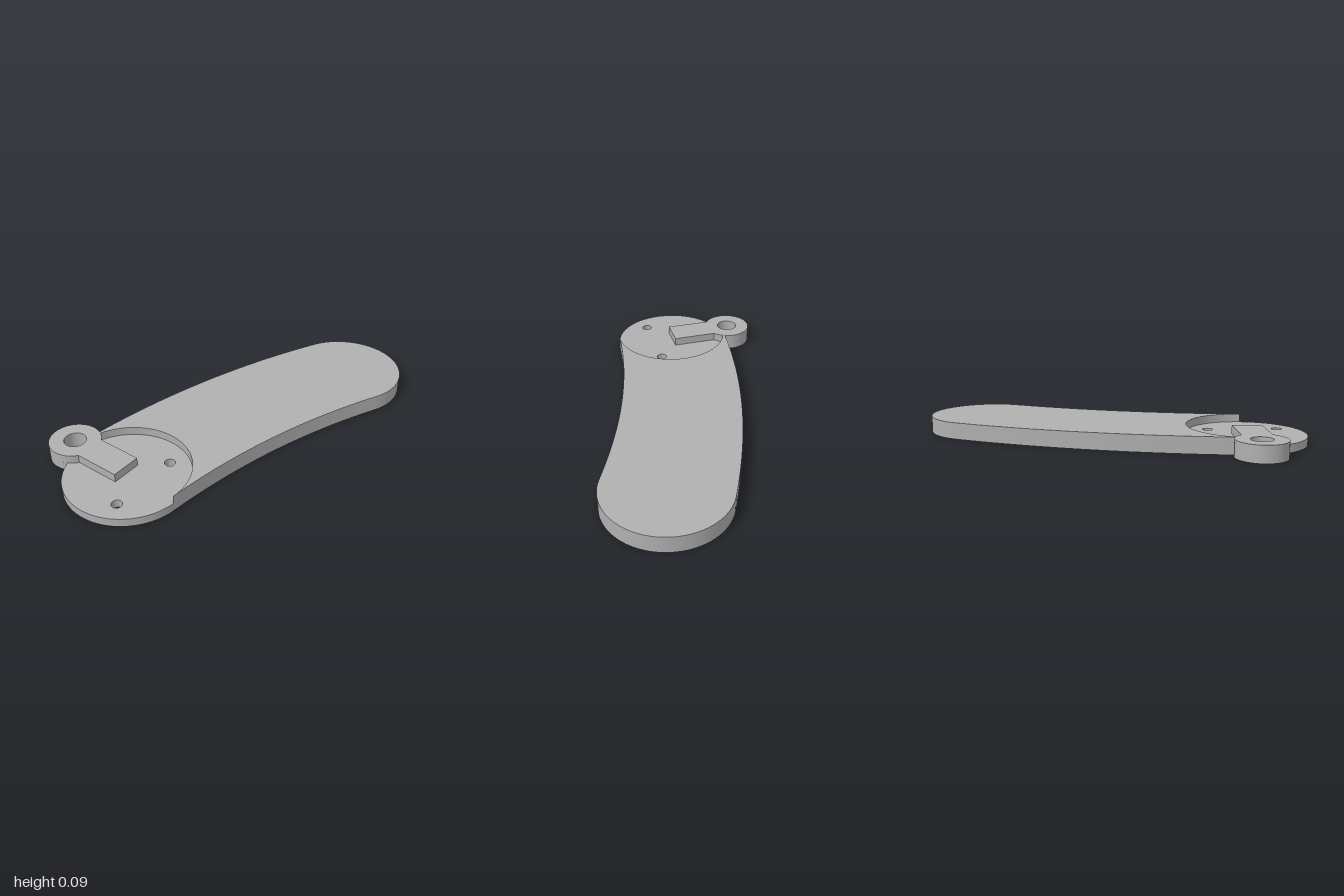
import * as THREE from 'three';
import { toCreasedNormals } from 'three/addons/utils/BufferGeometryUtils.js';

// Plan coordinates: x to the right, y towards the back (-z).
const HEIGHT = 0.088, FLOOR = 0.044;
const PAD = 0.312; // radius of both rounded ends
const disc = new THREE.Vector2(-0.688, 0.112);
const tip = new THREE.Vector2(0.688, -0.276);
const ring = new THREE.Vector2(-0.688, 0.463);
const RING_R = 0.13, RING_HOLE = 0.056;
const STEM_HALF = 0.0775, STEM_END = 0.118;

// Points along an arc from angle a to angle b
function arc(c, r, a, b, n = 48) {
  return Array.from({ length: n + 1 }, (_, i) => {
    const t = a + (b - a) * i / n;
    return new THREE.Vector2(c.x + r * Math.cos(t), c.y + r * Math.sin(t));
  });
}

const angleTo = (from, to) => Math.atan2(to.y - from.y, to.x - from.x);

// Angle at a circle of radius r between the line of centres and the crossing with another circle
const crossing = (d, r, other) => Math.acos((d * d + r * r - other * other) / (2 * d * r));

// Extrude an outline upwards between two heights
function slab(points, holes, y0, y1) {
  const clean = points.filter((p, i) => p.distanceTo(points[(i + 1) % points.length]) > 1e-4);
  const shape = new THREE.Shape(clean);
  for (const [c, r] of holes) shape.holes.push(new THREE.Path(arc(c, r, 0, -Math.PI * 2, 40).slice(0, -1)));
  const g = new THREE.ExtrudeGeometry(shape, { depth: y1 - y0, bevelEnabled: false });
  g.rotateX(-Math.PI / 2);
  g.translate(0, y0, 0);
  return toCreasedNormals(g, Math.PI / 7);
}

export function createModel() {
  const group = new THREE.Group();
  const grey = new THREE.MeshStandardMaterial({ color: 0xb0b0b0 });
  grey.name = 'plain grey';

  // Both long edges are arcs about one bend centre
  const bend = new THREE.Vector2(-1.057, -3.831);
  const R = bend.distanceTo(disc);
  const a0 = angleTo(bend, disc), a1 = angleTo(bend, tip);
  const dRing = bend.distanceTo(ring);
  const aMeet = angleTo(bend, ring) - crossing(dRing, R + PAD, RING_R);
  const meet = arc(bend, R + PAD, aMeet, aMeet, 1)[0];

  // Long edges and rounded tip, shared by both layers
  const paddle = [
    ...arc(bend, R - PAD, a0, a1),
    ...arc(tip, PAD, a1 + Math.PI, a1 + Math.PI * 2),
    ...arc(bend, R + PAD, a1, aMeet),
  ];

  // Where the ring meets the disc and the stem
  const d = ring.distanceTo(disc);
  const onDisc = crossing(d, PAD, RING_R), onRing = crossing(d, RING_R, PAD);
  const onStem = Math.asin(STEM_HALF / RING_R);
  const down = Math.PI * 1.5, ringStart = angleTo(ring, meet);

  const base = [
    ...paddle,
    ...arc(ring, RING_R, ringStart, down - onRing),
    ...arc(disc, PAD, Math.PI / 2 + onDisc, a0 + Math.PI),
  ];
  // Raised layer leaves the disc recessed, with the ring's stem reaching into it
  const raised = [
    ...paddle,
    ...arc(ring, RING_R, ringStart, down - onStem),
    new THREE.Vector2(ring.x - STEM_HALF, STEM_END),
    new THREE.Vector2(ring.x + STEM_HALF, STEM_END),
    ...arc(ring, RING_R, onStem - Math.PI / 2, onRing - Math.PI / 2, 12),
    ...arc(disc, PAD, Math.PI / 2 - onDisc, a0 - Math.PI, 64),
  ];

  const eye = [ring, RING_HOLE];
  const pins = [-1, 1].map((s) => [new THREE.Vector2(disc.x + s * 0.185, 0.005), 0.027]);

  const add = (name, geometry) => {
    const mesh = new THREE.Mesh(geometry, grey);
    mesh.name = name;
    group.add(mesh);
  };
  add('basePlate', slab(base, [eye, ...pins], 0, FLOOR));
  add('raisedPaddleAndRing', slab(raised, [eye], FLOOR, HEIGHT));
  return group;
}
